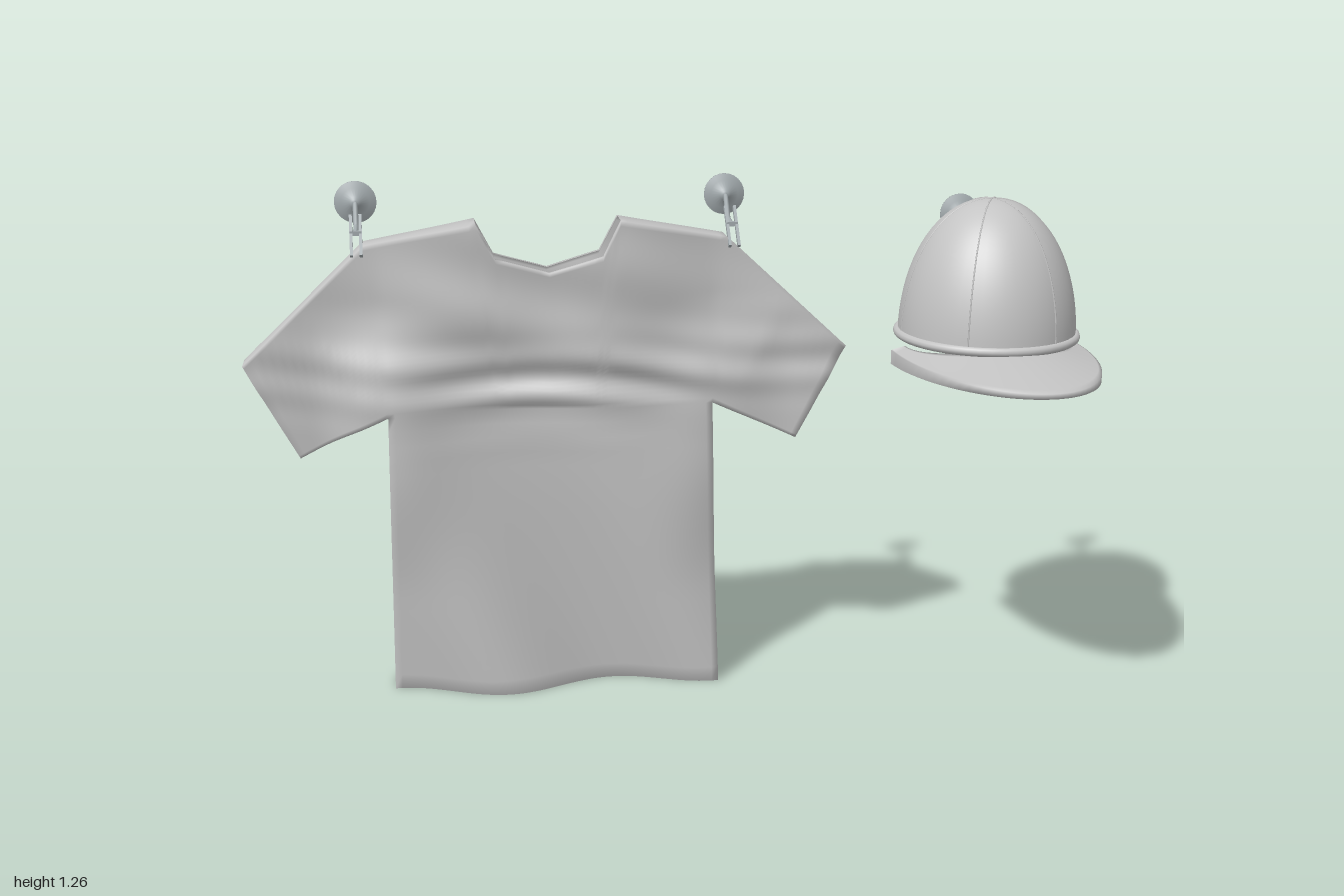
import * as THREE from 'three';
import { mergeGeometries, mergeVertices } from 'three/addons/utils/BufferGeometryUtils.js';

const cloth = new THREE.MeshStandardMaterial({ color: 0xc4c4c4, side: THREE.DoubleSide });
cloth.name = 'grey cloth';
const plastic = new THREE.MeshStandardMaterial({ color: 0xa4acaf, side: THREE.DoubleSide });
plastic.name = 'blue grey plastic';

const { lerp, smoothstep } = THREE.MathUtils;
const mix = (p, q, t) => [lerp(p[0], q[0], t), lerp(p[1], q[1], t)];

function addMesh(parent, name, geometry, material) {
  const mesh = new THREE.Mesh(geometry, material);
  mesh.name = name;
  parent.add(mesh);
  return mesh;
}

// Grid surface from fn(u, v) -> [x, y, z]; it faces du x dv
function surface(fn, nu, nv) {
  const pos = [], idx = [];
  for (let j = 0; j <= nv; j++) for (let i = 0; i <= nu; i++) pos.push(...fn(i / nu, j / nv));
  for (let j = 0; j < nv; j++) for (let i = 0; i < nu; i++) {
    const a = j * (nu + 1) + i, c = a + nu + 1;
    idx.push(a, a + 1, c + 1, a, c + 1, c);
  }
  const g = new THREE.BufferGeometry();
  g.setAttribute('position', new THREE.Float32BufferAttribute(pos, 3));
  g.setIndex(idx);
  g.computeVertexNormals();
  return g;
}

// Join pieces so the shading runs smoothly over their borders
function weld(parts) {
  const all = mergeGeometries(parts);
  all.deleteAttribute('normal');
  const g = mergeVertices(all, 1e-4);
  g.computeVertexNormals();
  return g;
}

// Point on a polyline whose corners sit at the given stations
function polyline(points, stations) {
  return (t) => {
    let k = 0;
    while (k < points.length - 2 && t > stations[k + 1]) k++;
    return mix(points[k], points[k + 1], (t - stations[k]) / (stations[k + 1] - stations[k]));
  };
}

// ---- Shirt ----
const MID = -0.28;
const mirror = ([x, y]) => [2 * MID - x, y];
const hem = [-0.685, 0.005], armpit = [-0.67, 0.73], cuffLow = [-0.88, 0.63];
const cuffTop = [-1, 0.86], shoulder = [-0.71, 1.13], collar = [-0.45, 1.18];
const neck = [-0.407, 1.097], throat = [MID, 1.06];
const topEdge = polyline(
  [shoulder, collar, neck, throat, mirror(neck), mirror(collar), mirror(shoulder)],
  [0, 8, 9, 12, 15, 16, 24].map((k) => k / 24));

// Depth of the front (s = 1) and back (s = -1) cloth, with drape and creases
function depth(x, y, s) {
  const d = Math.hypot(x - MID, 0.08);
  const low = lerp(0.037, 0.012, Math.min(1, y / 0.8)) * Math.cos(12 * (x - 0.12) + 4.5 * y);
  const high = 0.014 * Math.cos(11.4 * (d - 0.17));
  const drape = lerp(low, high, Math.max(smoothstep(y, 0.75, 1), smoothstep(d, 0.45, 0.6)));
  // Sides of the body swing forward below the arms
  const sides = 0.03 * Math.exp(-(((d - 0.4) / 0.12) ** 2)) * smoothstep(y, 0.25, 0.6) * (1 - smoothstep(y, 0.78, 1));
  const across = Math.max(0, 1 - ((x - MID) / 0.4) ** 2);
  const bulge = lerp(0.01, 0.016, Math.min(1, y / 0.5));
  const band = Math.exp(-(((y - 0.8 - 0.03 * Math.sin(5 * x)) / 0.09) ** 2));
  const crease = 0.01 * band * Math.sin(62 * y + 5 * x + 1.5 * Math.sin(7 * x) + s);
  const soft = 0.005 * smoothstep(y, 0.7, 0.9) * Math.sin(30 * y + 9 * x + 2 * s);
  return -0.243 + drape + sides + s * (0.037 + bulge * across) + (crease + soft) * (0.35 + 0.65 * across);
}

// Front or back cloth: body, chest and two sleeves
function panel(s) {
  const patch = (fn, nu, nv) => surface((u, v) => {
    const [x, y] = fn(s > 0 ? u : 1 - u, v);
    return [x, y, depth(x, y, s)];
  }, nu, nv);
  const sleeve = (u, v) => mix(mix(cuffLow, armpit, u), mix(cuffTop, shoulder, u), v);
  return [
    patch((u, v) => mix(mix(hem, mirror(hem), u), mix(armpit, mirror(armpit), u), v), 48, 20),
    patch((u, v) => mix(mix(armpit, mirror(armpit), u), topEdge(u), v), 48, 36),
    patch(sleeve, 16, 36),
    patch((u, v) => mirror(sleeve(1 - u, v)), 16, 36),
  ];
}

// Strip of cloth joining front and back along a closed edge
const wall = (path, n) => surface((u, v) => {
  const [x, y] = path(u);
  return [x, y, lerp(depth(x, y, 1), depth(x, y, -1), v)];
}, n, 2);

// Narrow turned-in border around an opening
const lip = (path, s, n) => surface((u, v) => {
  const [x, y] = path(s > 0 ? u : 1 - u);
  return [x, y, depth(x, y, s) - s * 0.014 * v];
}, n, 1);

function makeShirt() {
  const parts = [...panel(1), ...panel(-1)];
  for (const flip of [false, true]) {
    const edge = (a, b) => (t) => (flip ? mirror(mix(b, a, t)) : mix(a, b, t));
    parts.push(
      wall(edge(cuffTop, shoulder), 16),
      wall(edge(shoulder, collar), 16),
      wall(edge(armpit, cuffLow), 16),
      wall(edge(hem, armpit), 20),
      lip(edge(cuffLow, cuffTop), 1, 36),
      lip(edge(cuffLow, cuffTop), -1, 36));
  }
  for (const s of [1, -1]) {
    parts.push(
      lip((t) => mix(mirror(hem), hem, t), s, 48),
      lip((t) => topEdge(lerp(1 / 3, 2 / 3, t)), s, 16));
  }
  const shirt = new THREE.Group();
  shirt.name = 'shirt';
  addMesh(shirt, 'shirtCloth', weld(parts), cloth);
  return shirt;
}

// ---- Cap ----
function makeCap() {
  const cap = new THREE.Group();
  cap.name = 'cap';
  cap.position.set(0.765, 0, -0.108);
  const H = 0.323, R = 0.211, BASE = 0.902;

  // Crown, slightly longer than wide
  const crown = new THREE.Group();
  crown.name = 'crown';
  crown.scale.z = 1.05;
  cap.add(crown);
  const arc = (r, h) => Array.from({ length: 21 }, (_, i) => {
    const a = i / 20 * Math.PI / 2;
    return new THREE.Vector2(r * Math.max(0, Math.cos(a)) ** 0.95, BASE + h * Math.sin(a));
  });
  addMesh(crown, 'crownShell', new THREE.LatheGeometry(arc(R, H), 48), cloth);
  addMesh(crown, 'crownLining', new THREE.LatheGeometry(arc(R - 0.018, H - 0.018), 48), cloth);

  // Rolled rim
  const rim = addMesh(crown, 'rim', new THREE.TorusGeometry(R, 0.011, 10, 48), cloth);
  rim.rotation.x = Math.PI / 2;
  rim.position.y = BASE;

  // Six panel seams
  for (let k = 0; k < 6; k++) {
    const path = new THREE.CatmullRomCurve3(arc(R, H).map((p) => new THREE.Vector3(p.x, p.y, 0)));
    addMesh(crown, 'seam', new THREE.TubeGeometry(path, 24, 0.002, 5), cloth).rotation.y = k * Math.PI / 3;
  }

  // Pinched folds at the back
  for (const s of [-1, 1]) {
    const fold = addMesh(cap, 'backFold', new THREE.ConeGeometry(0.016, 0.14, 8), cloth);
    fold.position.set(s * 0.045, 0.966, -0.207);
    fold.rotation.set(0.16, 0, s * 0.14);
  }

  // Arched brim: top, underside, rounded edges and ends
  const brimPoint = (u, v, side) => {
    const a = u * Math.PI, c = Math.cos(a), f = Math.sin(a);
    const x = lerp(0.2, 0.234, v) * c, z = lerp(0.2, 0.466, v) * f;
    const top = 0.898 - 0.6 * x * x - 0.032 * v * f * f;
    return [x, top - side * lerp(0.034, 0.012, f * v), z];
  };
  addMesh(cap, 'brim', weld([
    surface((u, v) => brimPoint(1 - u, 1 - v, 0), 40, 10),
    surface((u, v) => brimPoint(u, 1 - v, 1), 40, 10),
    surface((u, v) => brimPoint(1 - u, 1, 1 - v), 40, 1),
    surface((u, v) => brimPoint(u, 0, 1 - v), 40, 1),
    surface((u, v) => brimPoint(0, 1 - u, v), 10, 1),
    surface((u, v) => brimPoint(1, u, v), 10, 1),
  ]), cloth);
  return cap;
}

// ---- Wall hooks: suction cup, bent stem and optional clip ----
function makeHook(x, y, stem, clip) {
  const hook = new THREE.Group();
  hook.name = 'hook';
  hook.position.set(x, y, 0);
  const profile = [[0, 0.003], [0.03, 0.001], [0.05, 0], [0.05, 0.002], [0.034, 0.007], [0.014, 0.016], [0.009, 0.024], [0, 0.024]];
  const cup = addMesh(hook, 'suctionCup',
    new THREE.LatheGeometry(profile.map(([r, h]) => new THREE.Vector2(r, h)), 24), plastic);
  cup.rotation.x = Math.PI / 2;
  cup.position.z = -0.358;
  const path = new THREE.CatmullRomCurve3(stem.map(([dy, z]) => new THREE.Vector3(0, dy, z)), false, 'catmullrom', 0.2);
  addMesh(hook, 'stem', new THREE.TubeGeometry(path, 16, 0.006, 8), plastic);
  if (clip) {
    // Two slanted bars gripping the shoulder
    for (const s of [-1, 1]) {
      const bar = addMesh(hook, 'clipBar', new THREE.BoxGeometry(0.007, 0.11, 0.01), plastic);
      bar.position.set(s * 0.011, -0.062, -0.245);
      bar.rotation.x = -0.7;
    }
    const bridge = addMesh(hook, 'clipBridge', new THREE.BoxGeometry(0.028, 0.01, 0.014), plastic);
    bridge.position.set(0, -0.057, -0.25);
  }
  return hook;
}

export function createModel() {
  const model = new THREE.Group();
  model.name = 'shirtAndCap';
  const shirtStem = [[0, -0.336], [-0.02, -0.322], [-0.05, -0.3], [-0.055, -0.275], [-0.057, -0.25]];
  const capStem = [[0, -0.336], [-0.025, -0.322], [-0.055, -0.302], [-0.07, -0.275]];
  model.add(
    makeShirt(), makeCap(),
    makeHook(-0.725, 1.213, shirtStem, true),
    makeHook(0.165, 1.213, shirtStem, true),
    makeHook(0.765, 1.15, capStem, false));
  return model;
}
